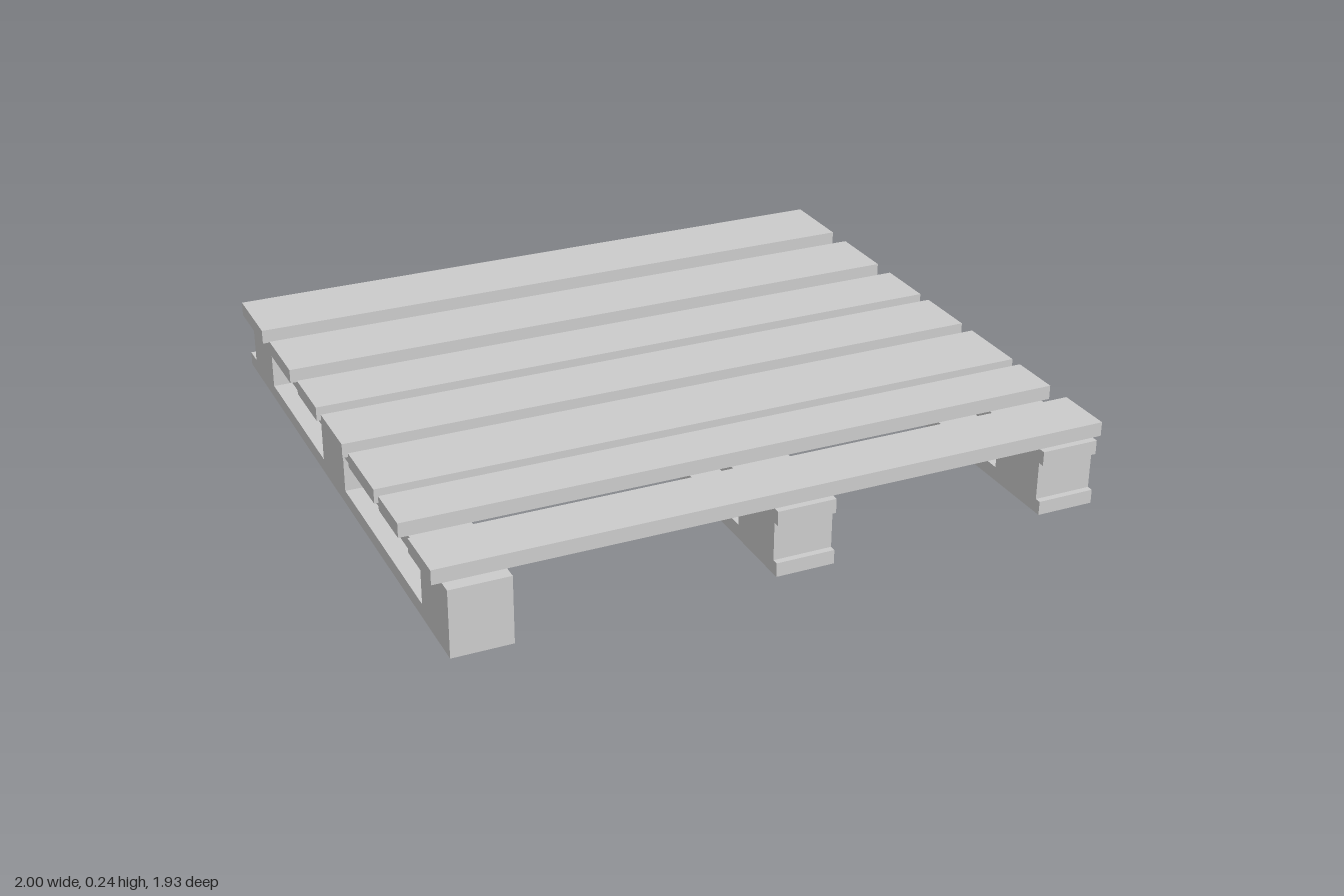
import * as THREE from 'three';

const material = new THREE.MeshStandardMaterial({ color: 0xcccccc, flatShading: true });

// Box given by its lower and upper limit on each axis
function slab(name, [x0, x1], [y0, y1], [z0, z1]) {
  const mesh = new THREE.Mesh(new THREE.BoxGeometry(x1 - x0, y1 - y0, z1 - z0), material);
  mesh.name = name;
  mesh.position.set((x0 + x1) / 2, (y0 + y1) / 2, (z0 + z1) / 2);
  return mesh;
}

// Runner: bottom board, three spacer blocks, top board
function runner(name, x, z, blocks) {
  const group = new THREE.Group();
  group.name = name;
  group.add(slab('bottomBoard', x, [0, 0.042], z));
  blocks.forEach((b) => group.add(slab('spacerBlock', x, [0.042, 0.157], b)));
  group.add(slab('topBoard', x, [0.157, 0.2], z));
  return group;
}

export function createModel() {
  const pallet = new THREE.Group();
  pallet.name = 'pallet';

  // Runners: the right one sits slightly forward and is turned end for end
  const blocks = [[-0.948, -0.735], [-0.04, 0.173], [0.717, 0.928]];
  pallet.add(runner('rightRunner', [-0.972, -0.797], [-0.946, 0.967],
    [[-0.882, -0.671], [-0.13, 0.082], [0.755, 0.967]]));
  pallet.add(runner('middleRunner', [-0.037, 0.139], [-0.967, 0.947], blocks));
  pallet.add(runner('leftRunner', [0.797, 0.973], [-0.967, 0.947], blocks));

  // Deck planks of uneven width, back to front
  const planks = [
    [-0.894, -0.655], [-0.567, -0.346], [-0.266, -0.072], [-0.022, 0.179],
    [0.238, 0.466], [0.506, 0.667], [0.75, 0.927],
  ];
  planks.forEach((z) => pallet.add(slab('deckPlank', [-1, 1], [0.2, 0.243], z)));

  return pallet;
}
